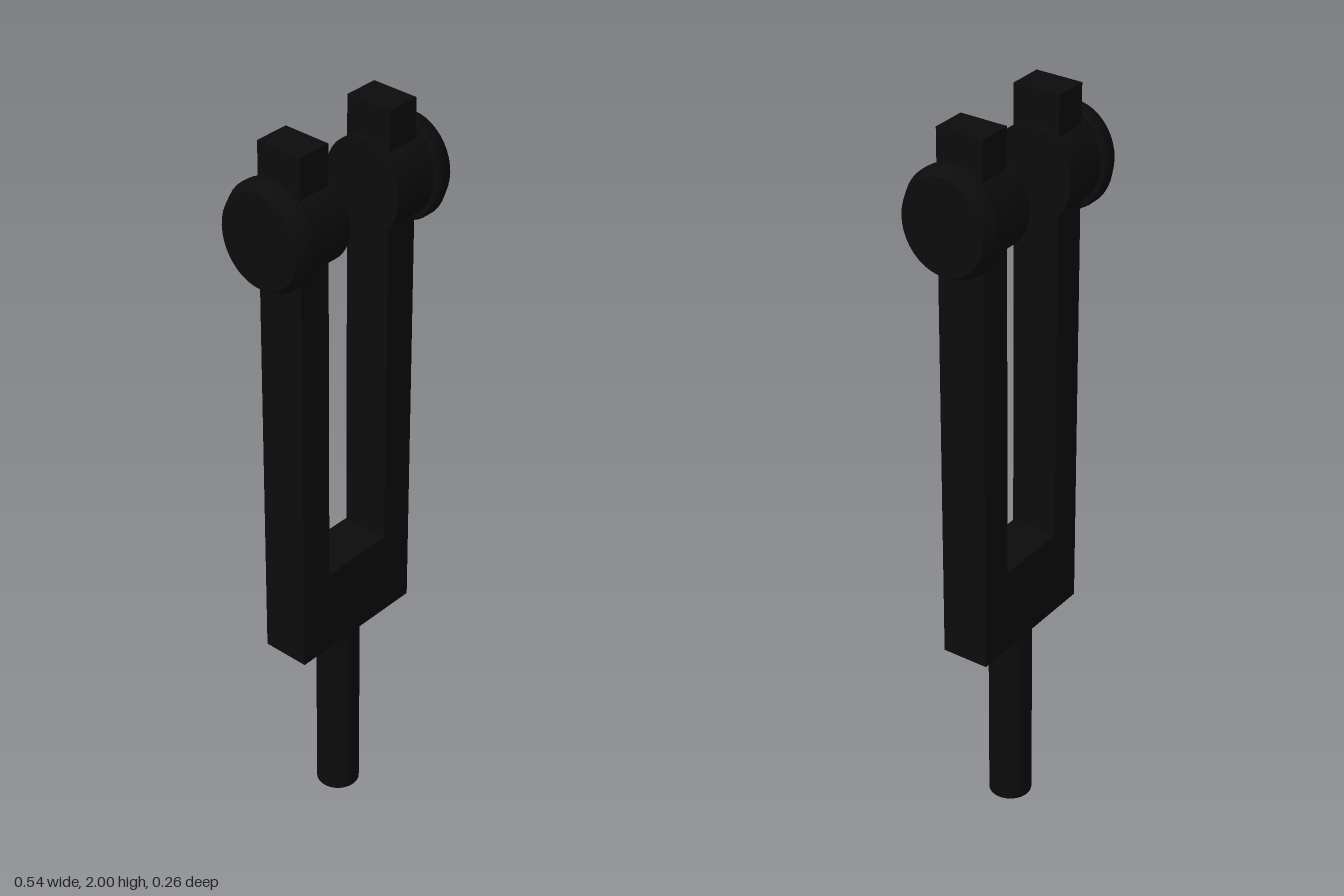
import * as THREE from 'three';
import { toCreasedNormals } from 'three/addons/utils/BufferGeometryUtils.js';

const black = new THREE.MeshStandardMaterial({ color: 0x0c0c0c });
black.name = 'black metal';

function part(name, geometry, parent) {
  const mesh = new THREE.Mesh(geometry, black);
  mesh.name = name;
  parent.add(mesh);
  return mesh;
}

// Solid of revolution with crisp edges; points are [radius, height]
function turned(points) {
  const profile = points.map(([r, h]) => new THREE.Vector2(r, h));
  return toCreasedNormals(new THREE.LatheGeometry(profile, 40), 0.5);
}

export function createModel() {
  const model = new THREE.Group();
  model.name = 'tuningFork';

  // Handle
  part('stem', turned([[0, 0], [0.057, 0], [0.057, 0.56], [0, 0.56]]), model);

  // Yoke and both prongs as one square-cornered U
  const outline = [
    [-0.2, 0.545], [0.2, 0.545], [0.2, 2], [0.105, 2],
    [0.105, 0.78], [-0.105, 0.78], [-0.105, 2], [-0.2, 2],
  ].map(([x, y]) => new THREE.Vector2(x, y));
  const fork = new THREE.ExtrudeGeometry(new THREE.Shape(outline), { depth: 0.13, bevelEnabled: false });
  fork.translate(0, 0, -0.065);
  part('forkBody', fork, model);

  // Slightly oval sliding weight and bevelled outer knob on each prong
  for (const side of [1, -1]) {
    const clamp = new THREE.Group();
    clamp.name = side > 0 ? 'leftWeight' : 'rightWeight';
    clamp.position.y = 1.792;
    clamp.scale.y = 1.08;
    const axis = new THREE.Group();
    axis.name = 'weightAxis';
    axis.rotation.z = -side * Math.PI / 2;
    clamp.add(axis);
    part('weight', turned([[0, 0.085], [0.114, 0.085], [0.114, 0.215], [0, 0.215]]), axis);
    part('knob', turned([
      [0, 0.21], [0.126, 0.21], [0.131, 0.218], [0.131, 0.24], [0.115, 0.27], [0, 0.27],
    ]), axis);
    model.add(clamp);
  }
  return model;
}
